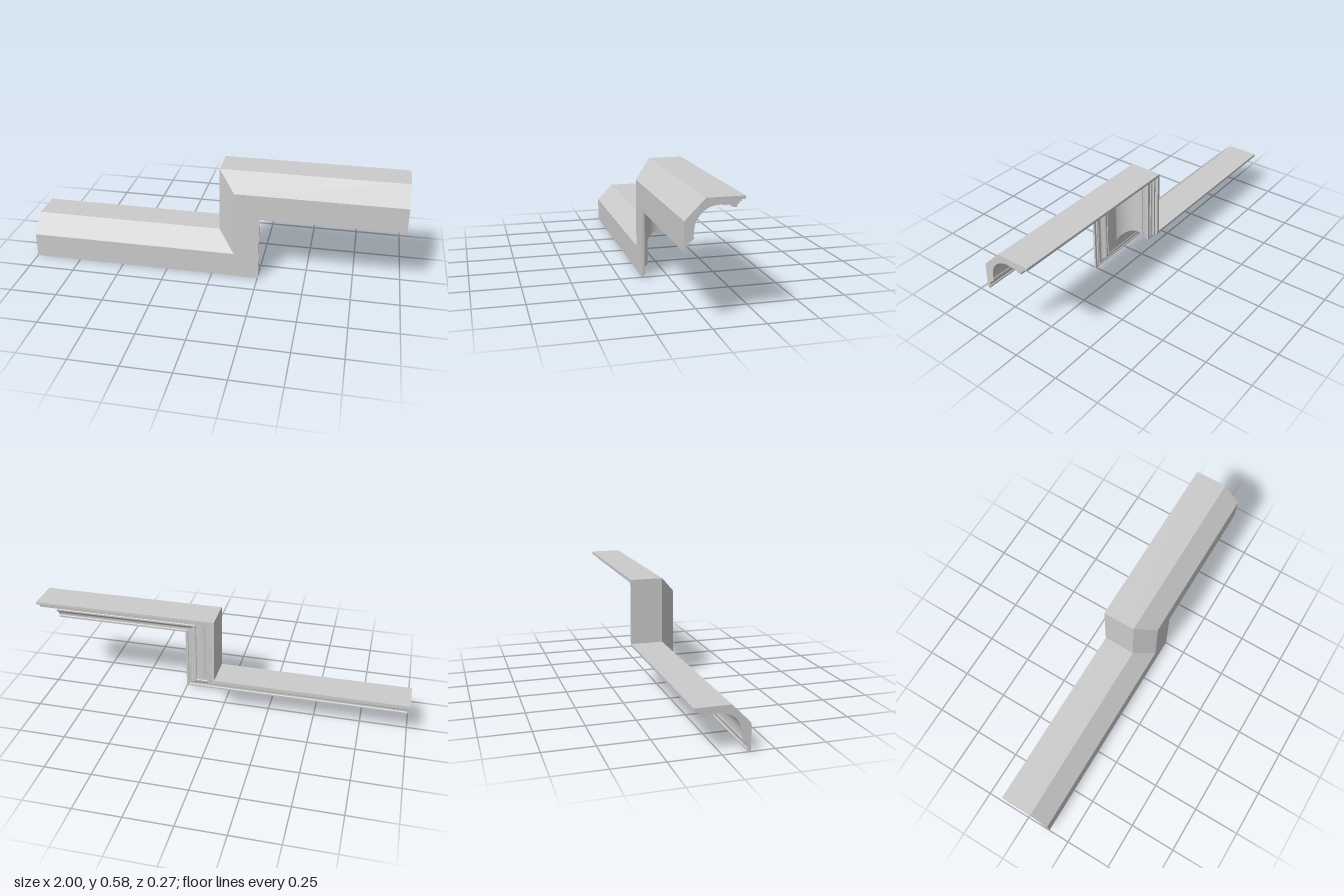
import * as THREE from 'three';
import { toCreasedNormals } from 'three/addons/utils/BufferGeometryUtils.js';

const CORNER_X = 0.253; // outer face of the upright run
const RISE = 0.353;     // height step between the two level runs

// Cross-section: shape x runs towards the back (-z), shape y is the offset from the lower edge
function mouldingProfile() {
  const s = new THREE.Shape();
  s.moveTo(-0.133, 0);
  // lower fillets
  s.lineTo(-0.122, 0);
  s.lineTo(-0.121, 0.011);
  s.lineTo(-0.115, 0.014);
  s.quadraticCurveTo(-0.121, 0.019, -0.119, 0.023);
  s.lineTo(-0.115, 0.023);
  // lower ogee
  s.bezierCurveTo(-0.117, 0.046, -0.094, 0.046, -0.09, 0.059);
  // small notch beside the cove
  s.lineTo(-0.09, 0.066);
  s.lineTo(-0.095, 0.071);
  s.lineTo(-0.09, 0.071);
  s.lineTo(-0.09, 0.087);
  // large cove
  const cx = 0.018, cy = 0.087, r = 0.108;
  for (let i = 1; i <= 28; i++) {
    const a = Math.PI - (i / 28) * (Math.PI - 1.25);
    s.lineTo(cx + r * Math.cos(a), cy + r * Math.sin(a));
  }
  // upper ogee
  s.lineTo(0.053, 0.196);
  s.bezierCurveTo(0.07, 0.191, 0.074, 0.177, 0.096, 0.181);
  // upper fillets
  s.lineTo(0.097, 0.194);
  s.lineTo(0.104, 0.194);
  s.quadraticCurveTo(0.106, 0.205, 0.116, 0.206);
  s.lineTo(0.117, 0.214);
  s.lineTo(0.133, 0.214);
  // flat top, chamfer and front face
  s.lineTo(0.133, 0.228);
  s.lineTo(-0.04, 0.228);
  s.lineTo(-0.133, 0.134);
  s.closePath();
  return s;
}

export function createModel() {
  const group = new THREE.Group();
  group.name = 'steppedMoulding';

  const geo = new THREE.ExtrudeGeometry(mouldingProfile(), {
    depth: 3, steps: 3, bevelEnabled: false, curveSegments: 10,
  });

  // Stations along the run, mitred at the two corners
  const stations = [
    d => [-1, d],
    d => [CORNER_X - d, d],
    d => [CORNER_X - d, RISE + d],
    d => [1, RISE + d],
  ];
  const p = geo.attributes.position;
  for (let i = 0; i < p.count; i++) {
    const [x, y] = stations[Math.round(p.getZ(i))](p.getY(i));
    p.setXYZ(i, x, y, -p.getX(i));
  }
  geo.computeVertexNormals();

  const mesh = new THREE.Mesh(
    toCreasedNormals(geo, 0.6),
    new THREE.MeshStandardMaterial({ color: 0xcccccc }),
  );
  mesh.geometry.clearGroups();
  mesh.name = 'moulding';
  group.add(mesh);
  return group;
}
